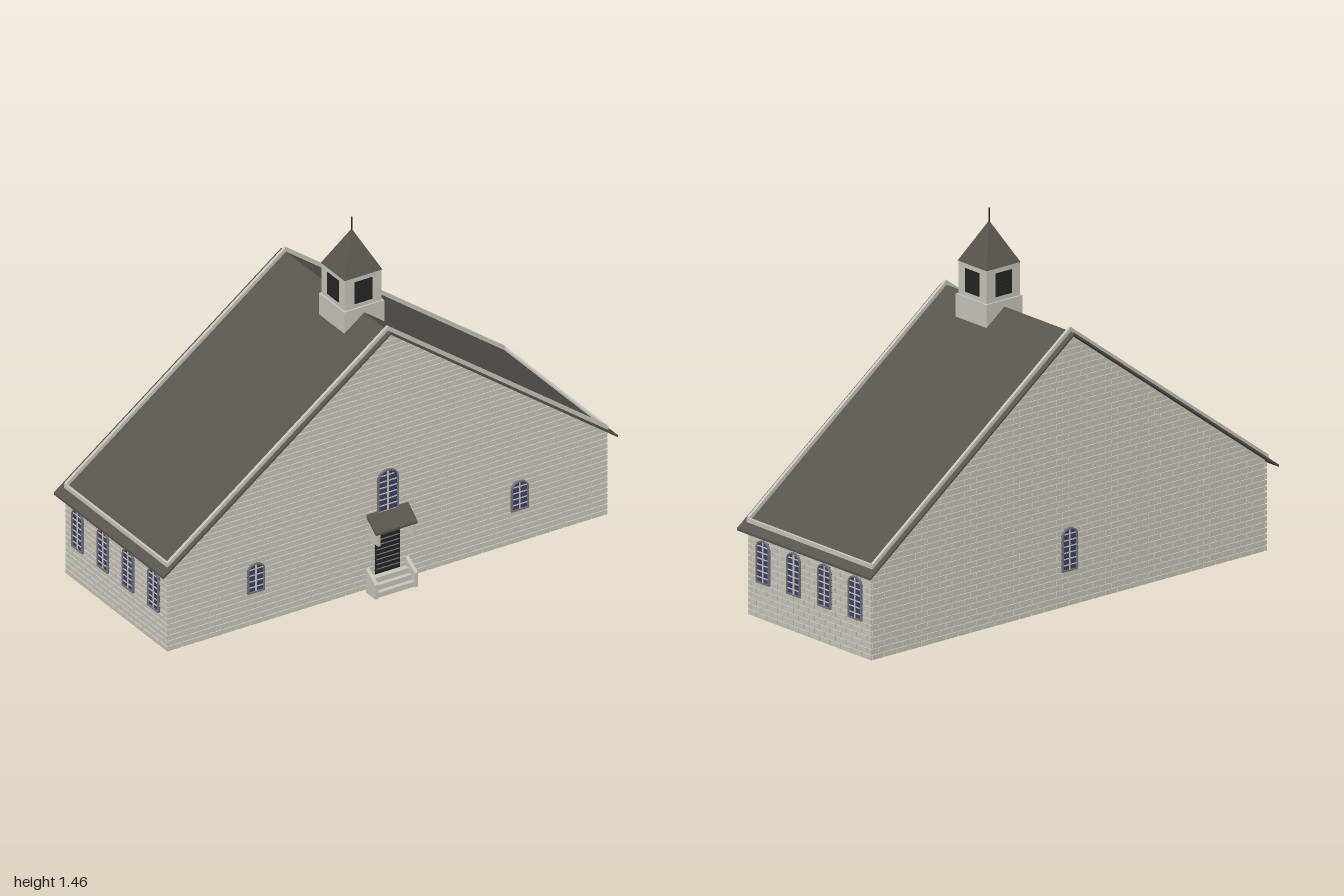
import * as THREE from 'three';
import { mergeGeometries } from 'three/addons/utils/BufferGeometryUtils.js';

const material = (name, color, side = THREE.FrontSide) => {
  const m = new THREE.MeshStandardMaterial({ color, side });
  m.name = name;
  return m;
};

export function createModel() {
  const wall = material('pale stone', 0xc8c5ba);
  const roofing = material('dark roofing', 0x59554e);
  const glass = material('blue glass', 0x3c4268);
  const frameGrey = material('window frame grey', 0x74757c);
  const dark = material('louver black', 0x242523);

  const root = new THREE.Group();
  root.name = 'chapel';
  const SLOPE = 0.74, RIDGE = 1.09, BASE = 0.012;
  const HALF = 0.968, FRONT = 0.335, BACK = -0.368;

  const add = (parent, name, geometry, mat) => {
    const m = new THREE.Mesh(geometry, mat);
    m.name = name;
    parent.add(m);
    return m;
  };
  const box = (w, h, d, x, y, z) => new THREE.BoxGeometry(w, h, d).translate(x, y, z);
  const polygon = (pts) => new THREE.Shape(pts.map((p) => new THREE.Vector2(p[0], p[1])));
  const extrude = (shape, depth, z) =>
    new THREE.ExtrudeGeometry(shape, { depth, bevelEnabled: false, curveSegments: 8 }).translate(0, 0, z);
  // Inverted V slab that follows both roof slopes
  const chevron = (half, top, thick, z0, z1) => extrude(polygon([
    [-half, top - SLOPE * half], [-half, top - SLOPE * half - thick], [0, top - thick],
    [half, top - SLOPE * half - thick], [half, top - SLOPE * half], [0, top],
  ]), z1 - z0, z0);

  // Raised bricks on a wall facing +z, with rows trimmed to halfWidth(y)
  const bricks = (halfWidth, yTop) => {
    const list = [], rowH = 0.0235, len = 0.06, gap = 0.005, d = 0.005;
    for (let row = 0; BASE + (row + 1) * rowH <= yTop; row++) {
      const y = BASE + row * rowH;
      const hw = halfWidth(y + rowH);
      const shift = row % 2 ? len / 2 : 0;
      for (let u = -Math.ceil(hw / len) * len - shift; u < hw; u += len) {
        const a = Math.max(u, -hw), b = Math.min(u + len - gap, hw);
        if (b - a > 0.006) list.push(box(b - a, rowH - gap, d, (a + b) / 2, y + (rowH - gap) / 2, -d / 2));
      }
    }
    return mergeGeometries(list);
  };

  // Gable walls, open underneath
  const apex = RIDGE - 0.01;
  const eave = apex - SLOPE * (HALF - 0.005);
  const gable = polygon([[-HALF + 0.005, BASE], [HALF - 0.005, BASE], [HALF - 0.005, eave], [0, apex], [-HALF + 0.005, eave]]);
  const gableBricks = bricks((y) => Math.min(HALF, (apex - y) / SLOPE), apex - 0.01);
  add(root, 'frontWall', extrude(gable, 0.012, FRONT - 0.017), wall);
  add(root, 'backWall', extrude(gable, 0.012, BACK + 0.005), wall);
  add(root, 'frontBricks', gableBricks, wall).position.z = FRONT;
  const backBricks = add(root, 'backBricks', gableBricks, wall);
  backBricks.position.z = BACK;
  backBricks.rotation.y = Math.PI;

  // Side walls
  const midZ = (FRONT + BACK) / 2, depth = FRONT - BACK;
  const sideBricks = bricks(() => depth / 2, eave);
  for (const s of [-1, 1]) {
    add(root, 'sideWall', box(0.012, eave - BASE, depth - 0.01, s * (HALF - 0.011), (eave + BASE) / 2, midZ), wall);
    const b = add(root, 'sideBricks', sideBricks, wall);
    b.position.set(s * HALF, 0, midZ);
    b.rotation.y = s * Math.PI / 2;
  }

  // Roof with thin pale strips along its four edges
  add(root, 'roof', chevron(1, RIDGE, 0.009, -0.4, 0.36), roofing);
  add(root, 'frontRake', chevron(HALF, RIDGE + 0.018, 0.022, 0.329, 0.341), wall);
  add(root, 'backRake', chevron(HALF, RIDGE + 0.018, 0.022, -0.378, -0.366), wall);
  for (const s of [-1, 1]) {
    add(root, 'eaveStrip', box(0.01, 0.018, 0.715, s * 0.965, RIDGE - SLOPE * 0.965 + 0.004, -0.018), wall);
  }

  // Arched window facing +z with its sill at y = 0
  const arch = (w, h, inset = 0) => {
    const a = w / 2 - inset, rise = w * 0.42 - inset, spring = h - w * 0.42;
    const pts = [[-a, inset], [a, inset]];
    for (let i = 0; i <= 10; i++) {
      const t = (i / 10) * Math.PI;
      pts.push([a * Math.cos(t), spring + rise * Math.sin(t)]);
    }
    return pts;
  };
  const addWindow = (name, w, h, x, y, z, turn) => {
    const g = new THREE.Group();
    g.name = name;
    add(g, 'glass', extrude(polygon(arch(w - 0.004, h - 0.002)), 0.025, -0.022), glass);
    const rim = polygon(arch(w, h));
    rim.holes.push(polygon(arch(w, h, 0.006)));
    add(g, 'frame', extrude(rim, 0.008, 0), frameGrey);
    const bars = [box(0.006, h - 0.012, 0.003, 0, h / 2, 0.004)];
    const rows = Math.round(h / 0.025);
    for (let i = 1; i < rows; i++) {
      const v = (i * h) / rows;
      const bw = v > h - w * 0.3 ? w * 0.6 : w - 0.012;
      bars.push(box(bw, 0.004, 0.003, 0, v, 0.004));
    }
    add(g, 'glazingBars', mergeGeometries(bars), wall);
    g.position.set(x, y, z);
    g.rotation.y = turn;
    root.add(g);
  };
  for (const s of [-1, 1]) {
    addWindow('frontWindow', 0.076, 0.125, s * 0.58, 0.15, FRONT, 0);
    for (const z of [0.245, 0.07, -0.105, -0.28]) {
      addWindow('sideWindow', 0.076, 0.17, s * HALF, 0.153, z, s * Math.PI / 2);
    }
  }
  addWindow('centreWindow', 0.092, 0.2, 0, 0.3, FRONT, 0);
  addWindow('backWindow', 0.076, 0.17, 0, 0.15, BACK, Math.PI);

  // Dark panel with horizontal slats, facing +z and centred on its origin
  const slattedPanel = (parent, name, w, h, count, slatMat, thick) => {
    const g = new THREE.Group();
    g.name = name;
    add(g, 'panel', box(w, h, thick, 0, 0, 0.003 - thick / 2), dark);
    const slats = [];
    for (let i = 1; i < count; i++) slats.push(box(w - 0.008, 0.003, 0.004, 0, -h / 2 + (i * h) / count, 0.004));
    add(g, 'slats', mergeGeometries(slats), slatMat);
    parent.add(g);
    return g;
  };

  // Door, steps and cheek walls
  slattedPanel(root, 'door', 0.108, 0.185, 9, frameGrey, 0.025).position.set(0, 0.158, FRONT);
  add(root, 'doorHead', box(0.12, 0.012, 0.008, 0, 0.256, FRONT + 0.004), wall);
  for (let i = 0; i < 3; i++) {
    const d = 0.06 - i * 0.018;
    add(root, 'step', box(0.17, 0.021, d, 0, 0.0105 + i * 0.021, FRONT + d / 2), wall);
  }
  const cheek = polygon([[0, 0], [0.066, 0], [0.066, 0.06], [0, 0.1]]);
  const gusset = polygon([[0, 0.22], [0.064, 0.22], [0.064, 0.274], [0, 0.322]]);
  const hood = polygon([[0, 0.318], [0.066, 0.27], [0.066, 0.278], [0, 0.33]]);
  // Profiles drawn outward from the front wall, then turned to lie across x
  const across = (shape, width, x) =>
    extrude(shape, width, -width / 2).rotateY(-Math.PI / 2).translate(x, 0, FRONT);
  for (const s of [-1, 1]) {
    add(root, 'stepCheek', across(cheek, 0.014, s * 0.087), wall);
    add(root, 'canopyBracket', across(gusset, 0.009, s * 0.076), wall);
  }
  add(root, 'canopy', across(hood, 0.184, 0), roofing);

  // Bell tower astride the ridge
  const tower = new THREE.Group();
  tower.name = 'bellTower';
  tower.position.z = 0.088;
  root.add(tower);
  add(tower, 'towerBase', box(0.176, 0.095, 0.176, 0, 1.0675, 0), wall);
  add(tower, 'belfry', box(0.162, 0.14, 0.162, 0, 1.178, 0), wall);
  for (let i = 0; i < 4; i++) {
    const turn = (i * Math.PI) / 2;
    const p = slattedPanel(tower, 'louver', 0.078, 0.092, 7, dark, 0.006);
    p.position.set(0.081 * Math.sin(turn), 1.18, 0.081 * Math.cos(turn));
    p.rotation.y = turn;
  }
  const spire = new THREE.ConeGeometry(0.083 * Math.SQRT2, 0.16, 4).toNonIndexed();
  spire.computeVertexNormals();
  add(tower, 'spire', spire.rotateY(Math.PI / 4).translate(0, 1.325, 0), roofing);
  add(tower, 'finial', new THREE.CylinderGeometry(0.003, 0.003, 0.06, 6).translate(0, 1.425, 0), dark);

  return root;
}
